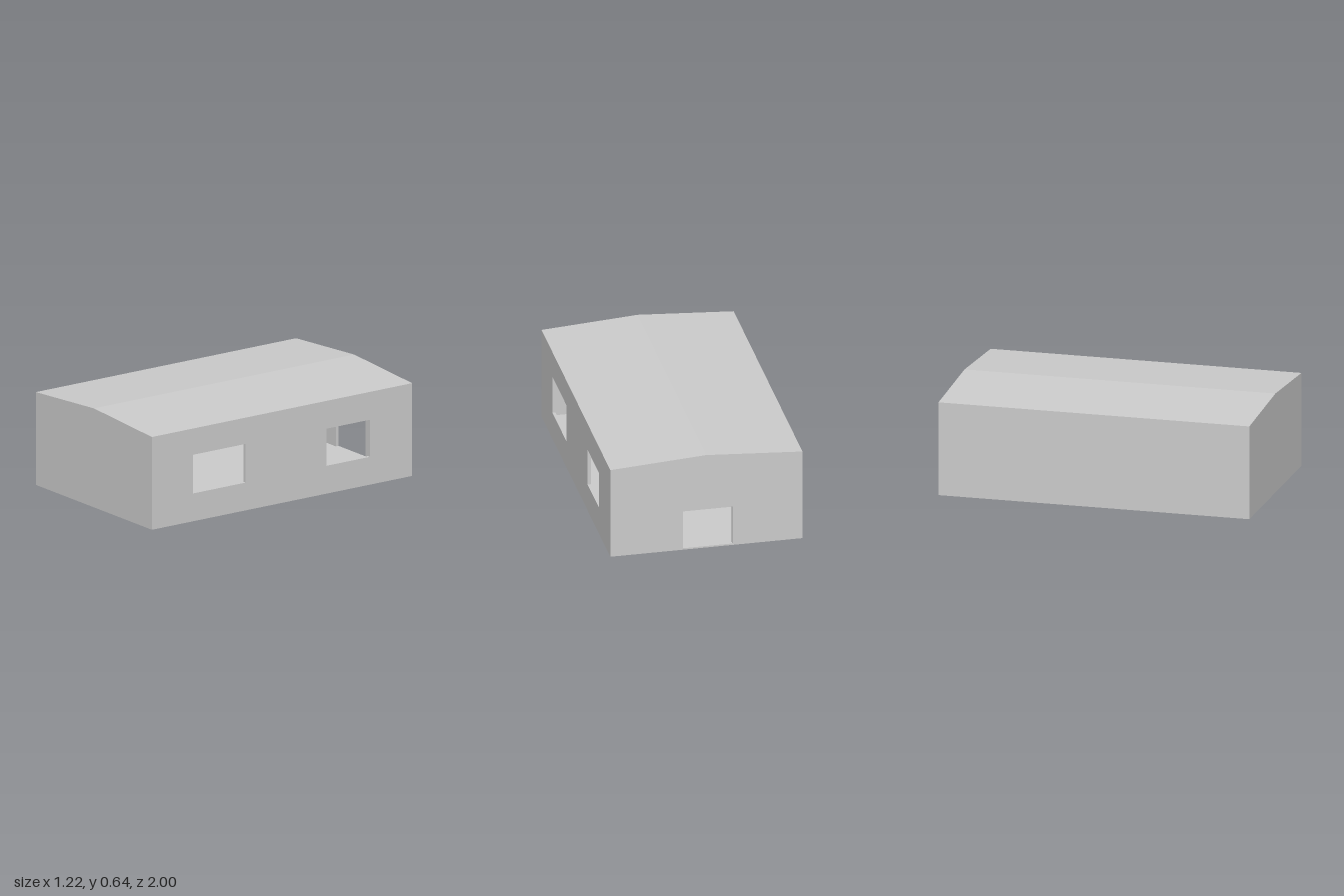
import * as THREE from 'three';

const W = 0.61;      // half width
const L = 1;         // half length
const EAVE = 0.6;
const RIDGE = 0.64;
const T = 0.02;      // wall thickness
const FLOOR = 0.01;

const material = new THREE.MeshStandardMaterial({ color: 0xcccccc, flatShading: true });

const points = (list) => list.map(([x, y]) => new THREE.Vector2(x, y));

const rect = (x0, x1, y0, y1) => points([[x0, y0], [x1, y0], [x1, y1], [x0, y1]]);

// Flat panel with rectangular openings, extruded along +z
function panel(name, outline, depth, openings = []) {
  const shape = new THREE.Shape(outline);
  for (const o of openings) shape.holes.push(new THREE.Path(rect(...o)));
  const geometry = new THREE.ExtrudeGeometry(shape, { depth, bevelEnabled: false });
  const mesh = new THREE.Mesh(geometry, material);
  mesh.name = name;
  return mesh;
}

export function createModel() {
  const house = new THREE.Group();
  house.name = 'house';

  // Gabled end walls, the back one with a doorway
  const gable = points([[-W, 0], [W, 0], [W, EAVE], [0, RIDGE], [-W, EAVE]]);
  const frontWall = panel('frontWall', gable, T);
  frontWall.position.z = L - T;
  const backWall = panel('backWall', gable, T, [[-0.165, 0.147, FLOOR, 0.265]]);
  backWall.position.z = -L;

  // Long walls, drawn with z along the panel; two windows on the +x side
  const inner = L - T;
  const windows = [[-0.685, -0.28, 0.18, 0.43], [0.34, 0.675, 0.18, 0.42]];
  const side = rect(-inner, inner, 0, EAVE - T);
  const windowWall = panel('windowWall', side, T, windows);
  const plainWall = panel('plainWall', side, T);
  windowWall.rotation.y = plainWall.rotation.y = Math.PI / 2;
  windowWall.position.x = W - T;
  plainWall.position.x = -W;

  // Shallow pitched roof slab and thin floor between the end walls
  const roofProfile = points([
    [-W, EAVE - T], [0, RIDGE - T], [W, EAVE - T], [W, EAVE], [0, RIDGE], [-W, EAVE],
  ]);
  const roof = panel('roof', roofProfile, 2 * inner);
  const floor = panel('floor', rect(-W + T, W - T, 0, FLOOR), 2 * inner);
  roof.position.z = floor.position.z = -inner;

  house.add(frontWall, backWall, windowWall, plainWall, roof, floor);
  return house;
}
